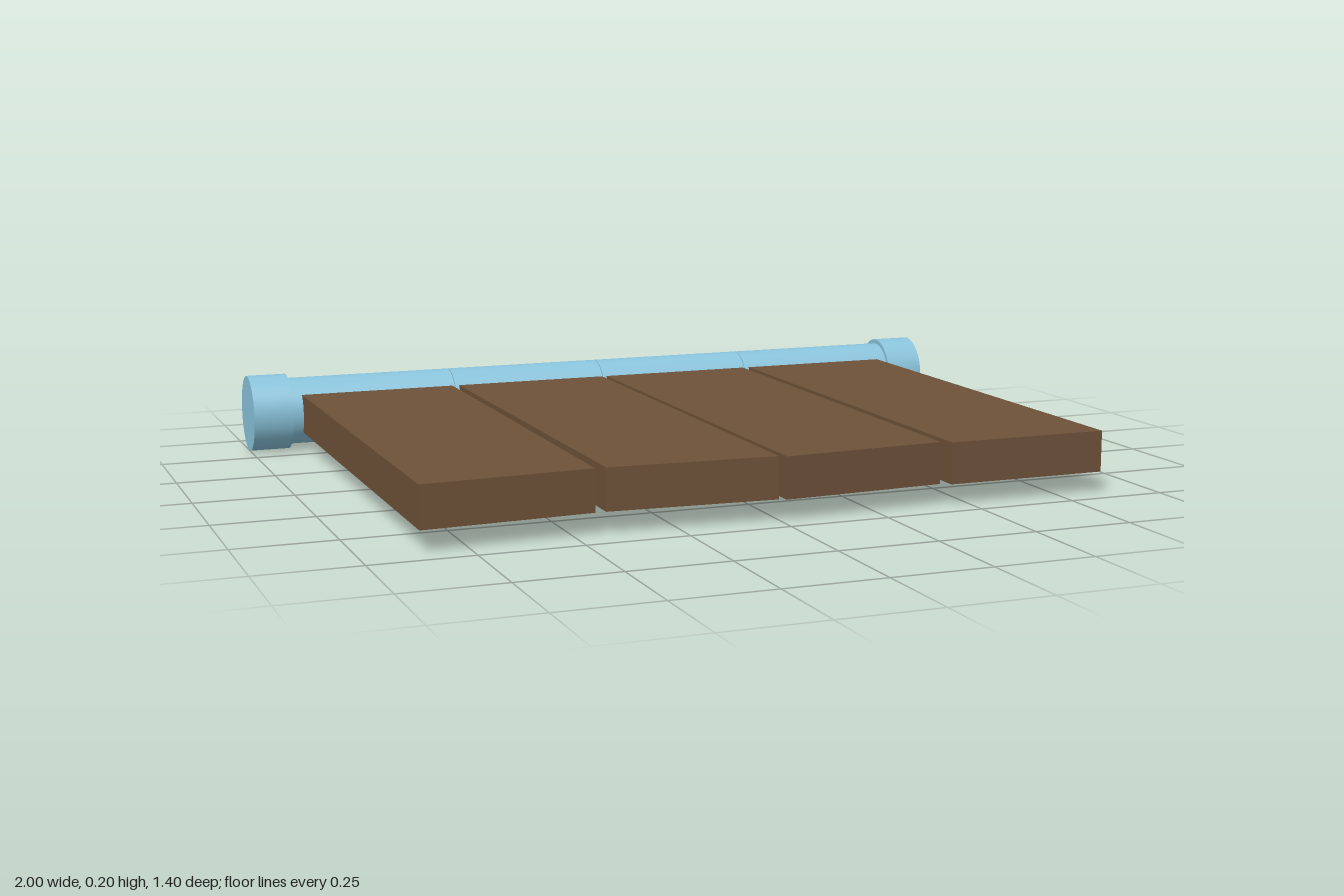
import * as THREE from 'three';

const PIPE_Y = 0.103, PIPE_Z = -0.61;

export function createModel() {
  const group = new THREE.Group();
  const blue = new THREE.MeshStandardMaterial({ color: 0x8ac4dc });
  blue.name = 'pale blue';
  const brown = new THREE.MeshStandardMaterial({ color: 0x6e5239 });
  brown.name = 'wood brown';

  // slightly oval cylinder lying along x
  function rod(name, x0, x1, ry, rz) {
    const geo = new THREE.CylinderGeometry(1, 1, x1 - x0, 40);
    geo.rotateZ(Math.PI / 2);
    geo.scale(1, ry, rz);
    const mesh = new THREE.Mesh(geo, blue);
    mesh.name = name;
    mesh.position.set((x0 + x1) / 2, PIPE_Y, PIPE_Z);
    group.add(mesh);
  }

  // four pipe sections with fine seams, and a wider cap at each end
  const seams = [-0.9, -0.438, -0.003, 0.435, 0.9];
  for (let i = 0; i < 4; i++) {
    rod('pipeSection' + (i + 1), seams[i] + 0.001, seams[i + 1] - 0.001, 0.09, 0.083);
  }
  rod('rightEndCap', -1, -0.895, 0.102, 0.093);
  rod('leftEndCap', 0.895, 1, 0.102, 0.093);

  // planks: back x pair, front x pair, front z at each side
  const planks = [
    [-0.865, -0.445, -0.865, -0.449, 0.69, 0.666],
    [-0.426, -0.005, -0.423, -0.005, 0.666, 0.69],
    [0.008, 0.431, 0.01, 0.426, 0.7, 0.675],
    [0.449, 0.866, 0.449, 0.866, 0.69, 0.69],
  ];
  planks.forEach(([bx0, bx1, fx0, fx1, z0, z1], i) => {
    // outline drawn with shape y = -z, then laid flat
    const outline = new THREE.Shape([
      new THREE.Vector2(fx0, -z0),
      new THREE.Vector2(fx1, -z1),
      new THREE.Vector2(bx1, -PIPE_Z),
      new THREE.Vector2(bx0, -PIPE_Z),
    ]);
    const geo = new THREE.ExtrudeGeometry(outline, { depth: 0.103, bevelEnabled: false });
    geo.rotateX(-Math.PI / 2);
    const mesh = new THREE.Mesh(geo, brown);
    mesh.name = 'plank' + (i + 1);
    mesh.position.y = 0.053;
    group.add(mesh);
  });

  return group;
}
